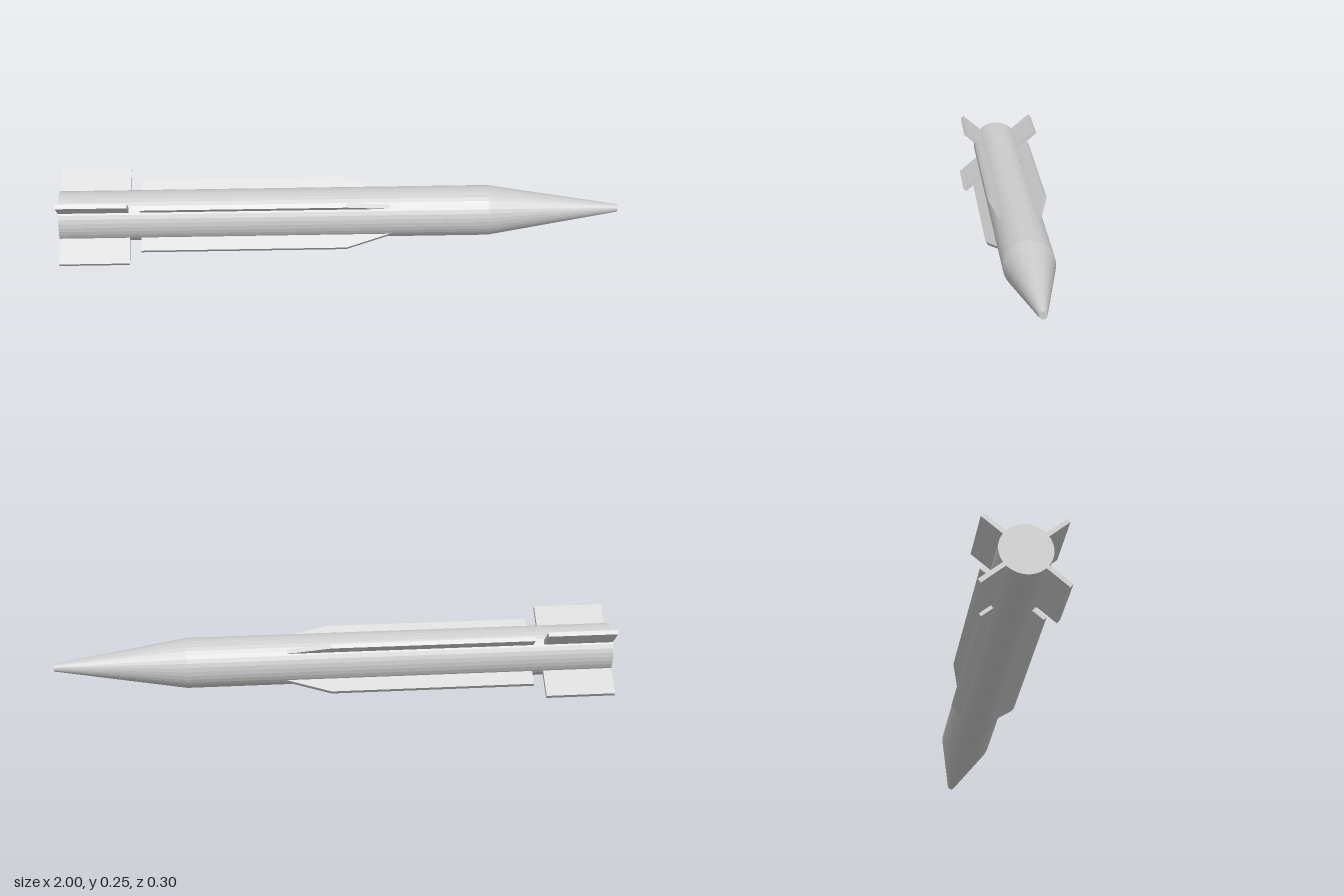
import * as THREE from 'three';

const AXIS_Y = 0.129, RADIUS = 0.0895, THICK = 0.016;

export function createModel() {
  const model = new THREE.Group();
  model.name = 'missile';
  const material = new THREE.MeshStandardMaterial({ color: 0xcccccc, flatShading: true });

  // Everything is built around the x axis, then lifted to its height
  const airframe = new THREE.Group();
  airframe.name = 'airframe';
  airframe.position.set(0, AXIS_Y, 0.002);
  model.add(airframe);

  const add = (name, geometry, parent = airframe) => {
    const mesh = new THREE.Mesh(geometry, material);
    mesh.name = name;
    parent.add(mesh);
    return mesh;
  };

  // Body tube and blunt-tipped nose cone in one turned profile
  const profile = [[0, -1], [RADIUS, -1], [RADIUS, 0.53], [0.0135, 1], [0, 1]]
    .map(([r, x]) => new THREE.Vector2(r, x));
  add('body', new THREE.LatheGeometry(profile, 36).rotateZ(-Math.PI / 2));

  // Flat plate from an outline of [x, radius] points
  const plate = (points) => {
    const shape = new THREE.Shape(points.map(([x, r]) => new THREE.Vector2(x, r)));
    return new THREE.ExtrudeGeometry(shape, { depth: THICK, bevelEnabled: false })
      .translate(0, 0, -THICK / 2);
  };

  // Four sets of tail fin and long strake: angle from top, fin reach, strake reach
  const root = 0.075;
  const sets = [
    ['upperFront', 50.3, 0.178, 0.126],
    ['lowerFront', 130, 0.186, 0.139],
    ['lowerBack', 230.5, 0.192, 0.141],
    ['upperBack', 309.5, 0.180, 0.134],
  ];
  for (const [name, angle, finReach, strakeReach] of sets) {
    const set = new THREE.Group();
    set.name = name + 'Fins';
    set.rotation.x = THREE.MathUtils.degToRad(angle);
    airframe.add(set);
    add('tailFin', plate([[-1, root], [-0.75, root], [-0.75, finReach], [-1, finReach]]), set);
    add('strake', plate([[-0.71, root], [0.175, root], [0.175, RADIUS],
      [0.02, strakeReach], [-0.71, strakeReach]]), set);
  }
  return model;
}
